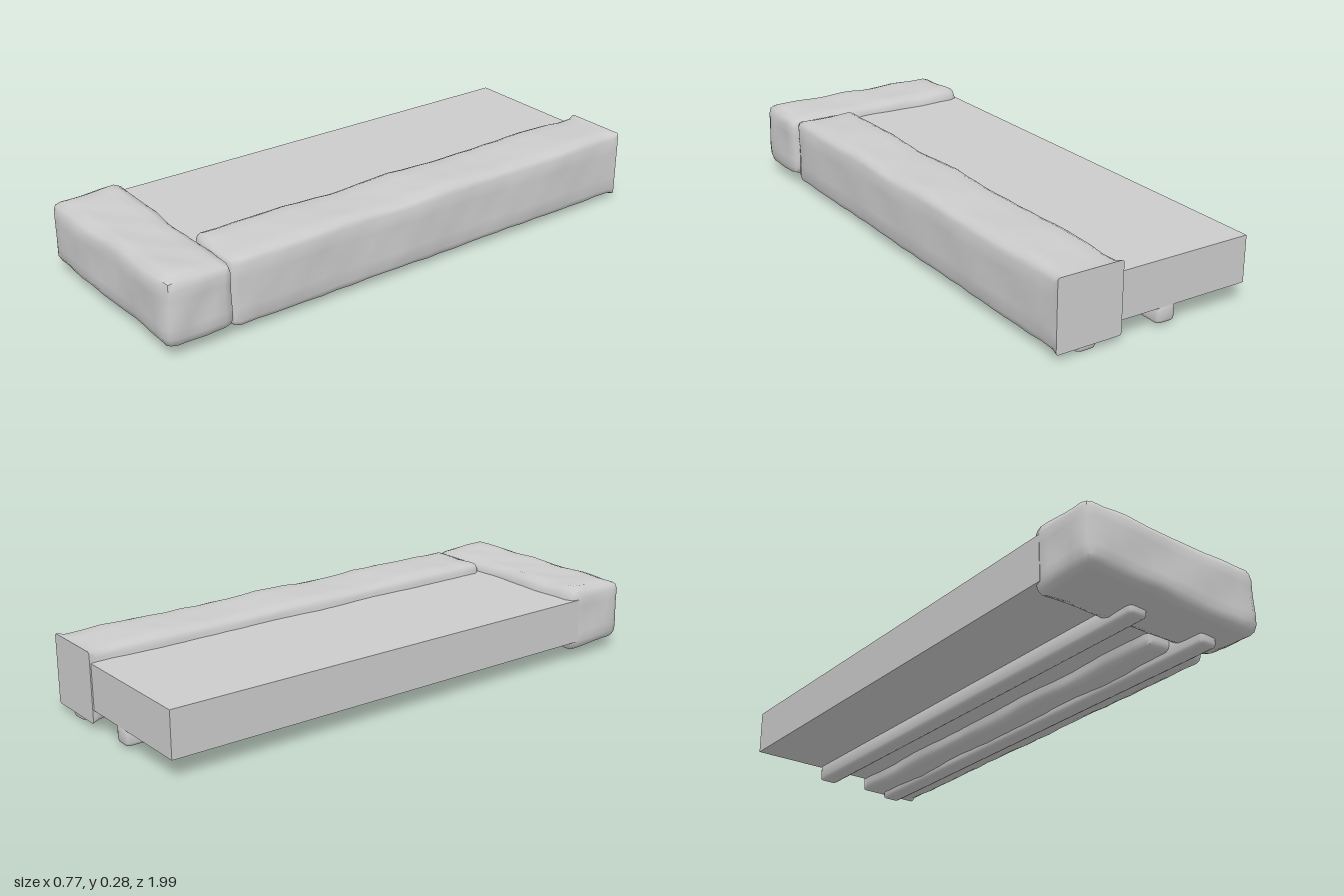
import * as THREE from 'three';
import { mergeVertices, toCreasedNormals } from 'three/addons/utils/BufferGeometryUtils.js';

const material = new THREE.MeshStandardMaterial({ color: 0xcccccc });
const lerp = THREE.MathUtils.lerp;

// smooth repeatable bumps for hewn stone
const bump = (a, b, c) =>
  0.5 * Math.sin(11 * a + 5 * b + c) + 0.3 * Math.sin(23 * b - 17 * a + 2 * c) + 0.2 * Math.sin(41 * a + 31 * b + 3 * c);

// rounded, slightly uneven block between two corners; sawnBack keeps its -z end flat and sharp
function block(name, min, max, segments, radius, rough, sawnBack = false) {
  const lo = new THREE.Vector3(...min), hi = new THREE.Vector3(...max);
  const geometry = new THREE.BoxGeometry(1, 1, 1, ...segments);
  geometry.deleteAttribute('normal');
  geometry.deleteAttribute('uv');
  const pos = geometry.attributes.position;
  const p = new THREE.Vector3(), inner = new THREE.Vector3(), d = new THREE.Vector3();
  for (let i = 0; i < pos.count; i++) {
    p.fromBufferAttribute(pos, i);
    const atBack = sawnBack && p.z < -0.499;
    const r = atBack ? 0.008 : radius;
    ['x', 'y', 'z'].forEach((axis, k) => {
      const n = segments[k], step = Math.round((p[axis] + 0.5) * n);
      // the outermost cells hold the rounded edge
      const a = lo[axis] + r, b = hi[axis] - r;
      p[axis] = step === 0 ? lo[axis] : step === n ? hi[axis] : lerp(a, b, (step - 1) / (n - 2));
      inner[axis] = THREE.MathUtils.clamp(p[axis], a, b);
    });
    if (atBack) inner.z = p.z;
    d.subVectors(p, inner).normalize();
    p.copy(inner).addScaledVector(d, r);
    if (!atBack) {
      p.x += rough * d.x * bump(p.z, p.y, 1);
      p.y += rough * d.y * bump(p.z, p.x, 2);
      p.z += rough * d.z * bump(p.x, p.y, 3);
    }
    pos.setXYZ(i, p.x, p.y, p.z);
  }
  const mesh = new THREE.Mesh(toCreasedNormals(mergeVertices(geometry, 1e-5), 0.95), material);
  mesh.name = name;
  return mesh;
}

export function createModel() {
  const group = new THREE.Group();
  group.name = 'stoneEdgedSlab';

  // flat slab
  const slab = new THREE.Mesh(new THREE.BoxGeometry(0.56, 0.165, 1.76), material);
  slab.name = 'slab';
  slab.position.set(-0.1, 0.152, -0.11);
  group.add(slab);

  // long kerb stone down the left side
  const longStone = block('longKerbStone', [0.12, 0.022, -0.995], [0.365, 0.274, 0.728], [6, 6, 28], 0.026, 0.007, true);
  group.add(longStone);

  // kerb stone across the front, a little deeper at its right end
  const frontStone = block('frontKerbStone', [-0.382, 0.036, 0.73], [0.382, 0.274, 0.98], [16, 7, 7], 0.036, 0.008);
  const pos = frontStone.geometry.attributes.position;
  for (let i = 0; i < pos.count; i++) {
    const front = (pos.getZ(i) - 0.73) / 0.25;
    pos.setZ(i, pos.getZ(i) - front * (0.035 * pos.getX(i) - 0.003));
  }
  group.add(frontStone);

  // two runners underneath
  [[-0.062, 0.01], [0.246, 0]].forEach(([x, y], i) => {
    group.add(block(i ? 'leftRunner' : 'rightRunner', [x - 0.036, y, -0.99], [x + 0.036, 0.08, 0.87], [4, 4, 6], 0.014, 0));
  });
  return group;
}
